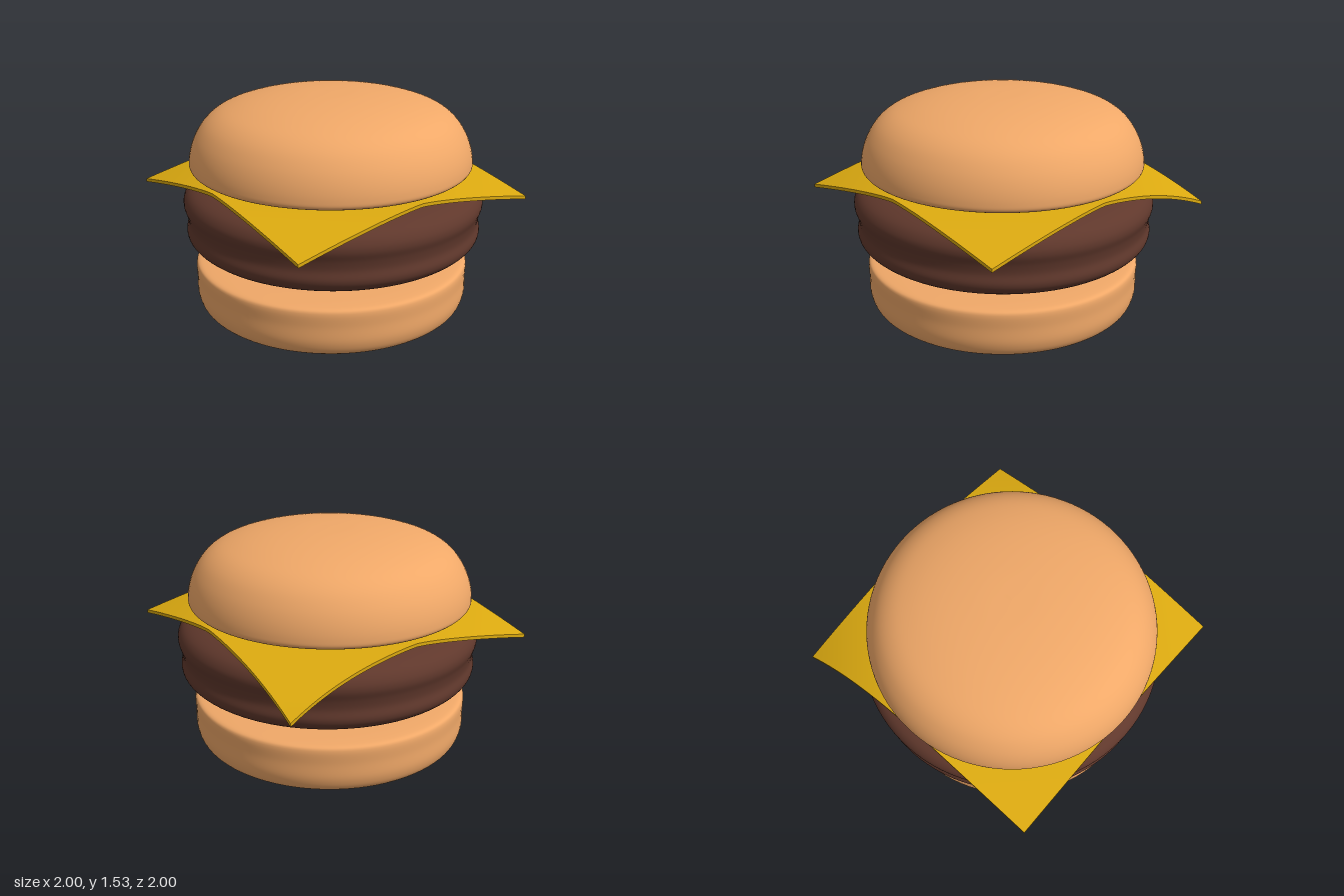
import * as THREE from 'three';

const BUN = 0xf0a868, PATTY = 0x60382c, CHEESE = 0xdcaa10;

function addMesh(group, name, geometry, color) {
  const mesh = new THREE.Mesh(geometry, new THREE.MeshStandardMaterial({ color }));
  mesh.name = name;
  group.add(mesh);
  return mesh;
}

// Smooth round solid from [radius, height] points, listed bottom to top
function roundSolid(profile) {
  const curve = new THREE.CatmullRomCurve3(
    profile.map(([r, y]) => new THREE.Vector3(r, y, 0)), false, 'centripetal');
  const points = curve.getPoints(72).map(p => new THREE.Vector2(Math.max(p.x, 0), p.y));
  return new THREE.LatheGeometry(points, 96);
}

// Thin square slice whose corners sag; the back left corner hangs furthest
function cheeseGeometry() {
  const half = 0.912, thickness = 0.022;
  const geometry = new THREE.BoxGeometry(half * 2, thickness, half * 2, 48, 1, 48);
  const pos = geometry.attributes.position;
  for (let i = 0; i < pos.count; i++) {
    const x = pos.getX(i), z = pos.getZ(i);
    const u = x / half, v = z / half;
    const fold = Math.max(0, Math.abs(u) + Math.abs(v) - 1);
    const extra = u > 0 && v < 0 ? fold ** 3 : 0;
    pos.setXYZ(i,
      x + 0.02 * extra,
      pos.getY(i) - 0.15 * fold ** 1.3 - 0.085 * extra,
      z - 0.05 * extra);
  }
  geometry.computeVertexNormals();
  return geometry;
}

export function createModel() {
  const model = new THREE.Group();
  model.name = 'cheeseburger';

  // Bottom bun: flat top, rounded lower edge, slightly domed underside
  addMesh(model, 'bottomBun', roundSolid([
    [0, 0.006], [0.3, 0.011], [0.5, 0.024], [0.7, 0.046], [0.82, 0.076], [0.89, 0.12],
    [0.918, 0.19], [0.92, 0.3], [0.92, 0.395], [0.908, 0.414], [0.85, 0.425],
    [0.5, 0.43], [0, 0.43],
  ]), BUN).position.set(-0.014, 0, -0.003);

  // Patty: two bulges with a shallow waist between them
  addMesh(model, 'patty', roundSolid([
    [0, 0.43], [0.35, 0.438], [0.6, 0.462], [0.8, 0.502], [0.92, 0.55], [0.975, 0.6],
    [0.986, 0.64], [0.975, 0.7], [0.982, 0.76], [0.999, 0.82], [0.994, 0.865],
    [0.96, 0.915], [0.88, 0.955], [0.7, 0.985], [0.4, 1.0], [0, 1.005],
  ]), PATTY);

  // Cheese slice
  addMesh(model, 'cheeseSlice', cheeseGeometry(), CHEESE).position.set(-0.0125, 1.021, -0.0075);

  // Top bun: rounded dome
  addMesh(model, 'topBun', roundSolid([
    [0, 1.038], [0.5, 1.04], [0.8, 1.046], [0.9, 1.056], [0.932, 1.078], [0.934, 1.12],
    [0.917, 1.2], [0.88, 1.284], [0.82, 1.365], [0.74, 1.425], [0.62, 1.472],
    [0.45, 1.51], [0.22, 1.535], [0, 1.541],
  ]), BUN).position.set(-0.015, 0, -0.005);

  return model;
}
